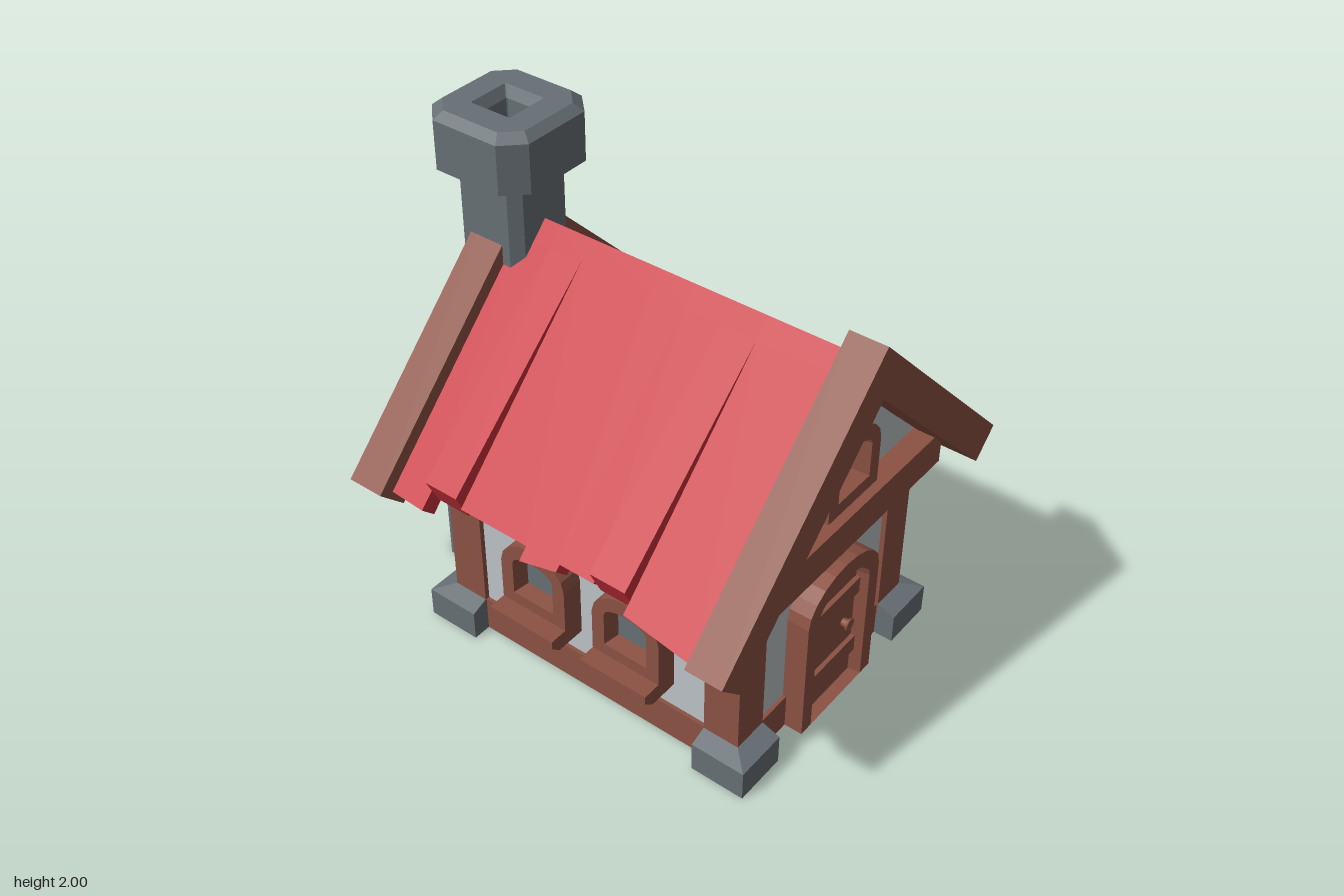
import * as THREE from 'three';

const flat = (name, color) => {
  const m = new THREE.MeshStandardMaterial({ color });
  m.name = name;
  return m;
};

// Rectangle in plan, with optional cut corners (plan y = -z)
function rect(x0, x1, z0, z1, c = 0) {
  const a = -z1, b = -z0;
  if (!c) return [[x0, a], [x1, a], [x1, b], [x0, b]];
  return [[x0 + c, a], [x1 - c, a], [x1, a + c], [x1, b - c],
    [x1 - c, b], [x0 + c, b], [x0, b - c], [x0, a + c]];
}

// Round-topped outline, counter-clockwise from the bottom right
function arch(half, bottom, spring, top, n = 8) {
  const pts = [[half, bottom]];
  for (let i = 0; i <= n; i++) {
    const a = Math.PI * i / n;
    pts.push([half * Math.cos(a), spring + (top - spring) * Math.sin(a)]);
  }
  pts.push([-half, bottom]);
  return pts;
}

// Skin a list of [outline, depth] sections along z, faceted
function loft(sections, caps = true) {
  const pos = [];
  const put = (s, i) => pos.push(s[0][i][0], s[0][i][1], s[1]);
  const n = sections[0][0].length;
  for (let k = 0; k + 1 < sections.length; k++) {
    const a = sections[k], b = sections[k + 1];
    for (let i = 0; i < n; i++) {
      const j = (i + 1) % n;
      put(a, i); put(a, j); put(b, j);
      put(a, i); put(b, j); put(b, i);
    }
  }
  if (caps) {
    for (const [s, start] of [[sections[0], true], [sections.at(-1), false]]) {
      const outline = s[0].map(p => new THREE.Vector2(p[0], p[1]));
      for (const [i, j, k] of THREE.ShapeUtils.triangulateShape(outline, [])) {
        put(s, i); put(s, start ? k : j); put(s, start ? j : k);
      }
    }
  }
  const g = new THREE.BufferGeometry();
  g.setAttribute('position', new THREE.Float32BufferAttribute(pos, 3));
  g.computeVertexNormals();
  return g;
}

// Same, but the sections are plan outlines stacked upwards
const stack = sections => loft(sections).rotateX(-Math.PI / 2);

export function createModel() {
  const wood = flat('brown wood', 0x8c5243);
  const plaster = flat('pale plaster', 0xbcc3c6);
  const stone = flat('grey stone', 0x687075);
  const red = flat('red roof', 0xc6303a);

  const house = new THREE.Group();
  house.name = 'cottage';
  const add = (name, geo, mat, parent = house) => {
    const m = new THREE.Mesh(geo, mat);
    m.name = name;
    parent.add(m);
    return m;
  };
  const box = (name, x0, x1, y0, y1, z0, z1, mat, parent) => {
    const m = add(name, new THREE.BoxGeometry(x1 - x0, y1 - y0, z1 - z0), mat, parent);
    m.position.set((x0 + x1) / 2, (y0 + y1) / 2, (z0 + z1) / 2);
    return m;
  };

  // Walls and floor frame
  box('walls', -0.51, 0.51, 0.1, 0.88, -0.56, 0.75, plaster);
  box('baseFrame', -0.525, 0.525, 0, 0.15, -0.575, 0.765, wood);
  add('gableWall', loft([
    [[[-0.56, 0.89], [0.56, 0.89], [0, 1.46]], -0.56],
    [[[-0.56, 0.89], [0.56, 0.89], [0, 1.46]], 0.75]]), plaster);
  add('eavesBeam', stack([
    [rect(-0.53, 0.53, -0.58, 0.77), 0.725],
    [rect(-0.6, 0.6, -0.65, 0.84), 0.76],
    [rect(-0.6, 0.6, -0.65, 0.84), 0.905]]), wood);

  // Corner posts on sloped foundation stones
  for (const s of [-1, 1]) {
    for (const front of [true, false]) {
      const xs = (a, b) => s > 0 ? [a, b] : [-b, -a];
      const zs = (a, b) => front ? [0.095 + a, 0.095 + b] : [0.095 - b, 0.095 - a];
      box('cornerPost', ...xs(0.38, 0.53), 0.1, 0.74, ...zs(0.525, 0.675), wood);
      const foot = rect(...xs(0.38, 0.6), ...zs(0.525, 0.75));
      const top = rect(...xs(0.38, 0.53), ...zs(0.525, 0.675));
      add('cornerStone', stack([[foot, 0], [foot, 0.125], [top, 0.152]]), stone);
    }
  }

  // Roof planks: [z start, z end, reach at start, reach at end, lifted]
  const planks = {
    1: [[-0.59, -0.44, 0.745, 0.745], [-0.44, -0.14, 0.77, 0.795], [-0.14, 0.01, 0.76, 0.76, true],
      [0.01, 0.46, 0.745, 0.745], [0.46, 0.61, 0.785, 0.765], [0.61, 0.77, 0.745, 0.745]],
    [-1]: [[-0.59, -0.44, 0.79, 0.795], [-0.44, -0.295, 0.765, 0.765, true], [-0.295, 0.01, 0.745, 0.745],
      [0.01, 0.16, 0.785, 0.765], [0.16, 0.31, 0.745, 0.745], [0.31, 0.46, 0.765, 0.765, true],
      [0.46, 0.77, 0.775, 0.8]],
  };
  const plankSection = (e, lifted, s) => {
    const lift = lifted ? 0.08 : 0;
    const pts = [[0, 1.58], [0, 1.47], [e - 0.055, 1.525 - e + lift / 4],
      [e, 1.58 - e + lift], [0.065, 1.515]];
    return s > 0 ? pts : pts.map(([x, y]) => [-x, y]).reverse();
  };
  for (const s of [1, -1]) {
    for (const [z0, z1, e0, e1, lifted] of planks[s]) {
      add('roofPlank', loft([[plankSection(e0, lifted, s), z0], [plankSection(e1, lifted, s), z1]]), red);
    }
  }

  // Gable boards front and back
  const board = [[0, 1.66], [-0.85, 0.81], [-0.745, 0.705], [0, 1.45], [0.745, 0.705], [0.85, 0.81]];
  for (const [z0, z1] of [[0.77, 0.92], [-0.74, -0.59]]) {
    add('gableBoard', loft([[board, z0], [board, z1]]), wood);
  }

  // Arched window facing +z, measured from its own bottom edge
  function archedWindow(name, sill) {
    const g = new THREE.Group();
    g.name = name;
    const inner = arch(0.095, 0.055, 0.2, 0.245);
    const outer = arch(0.15, 0, 0.19, 0.31);
    if (sill) for (const p of [...inner, ...outer]) p[1] += 0.065;
    const deep = inner.map(([x, y]) => [x * 0.86, 0.18 + (y - 0.18) * 0.93]);
    add('windowFrame', loft([[outer, -0.04], [outer, 0.07], [inner, 0.07], [deep, 0]], false), wood, g);
    const pane = new THREE.Shape(inner.map(p => new THREE.Vector2(...p)));
    add('windowPane', new THREE.ShapeGeometry(pane), stone, g).position.z = 0.005;
    if (sill) {
      add('windowSill', stack([
        [rect(-0.15, 0.15, -0.03, 0.105), 0],
        [rect(-0.15, 0.15, -0.03, 0.145), 0.035],
        [rect(-0.15, 0.15, -0.03, 0.145), 0.07]]), wood, g);
    }
    house.add(g);
    return g;
  }
  archedWindow('gableWindow', false).position.set(0, 0.97, 0.77);
  for (const s of [-1, 1]) {
    for (const z of [0.32, -0.11]) {
      const w = archedWindow('sideWindow', true);
      w.rotation.y = s * Math.PI / 2;
      w.position.set(s * 0.53, 0.26, z);
    }
  }

  // Front door
  const outer = arch(0.225, 0, 0.53, 0.68, 10);
  const inner = arch(0.165, 0, 0.51, 0.615, 10);
  const deep = arch(0.155, 0, 0.505, 0.6, 10);
  add('doorFrame', loft([[outer, 0.74], [outer, 0.84], [inner, 0.84], [deep, 0.78]], false), wood);
  add('doorPanel', loft([[inner, 0.75], [inner, 0.79]]), wood);
  for (const y of [0.11, 0.41]) box('doorRail', -0.158, 0.158, y, y + 0.075, 0.78, 0.808, wood);
  const knob = add('doorKnob', new THREE.CylinderGeometry(0.02, 0.016, 0.035, 10).rotateX(Math.PI / 2), wood);
  knob.position.set(0.09, 0.3, 0.805);
  add('doorKnobRing', new THREE.TorusGeometry(0.022, 0.006, 6, 12), wood).position.set(0.09, 0.3, 0.818);

  // Chimney: [height, half width, z back, z front, corner cut]
  const chimney = [
    [0, 0.3, -0.89, -0.5, 0.05], [0.59, 0.3, -0.89, -0.5, 0.05],
    [0.605, 0.28, -0.868, -0.5, 0.05], [0.62, 0.3, -0.888, -0.5, 0.05],
    [0.76, 0.3, -0.888, -0.5, 0.05], [0.91, 0.155, -0.818, -0.515, 0.04],
    [1.21, 0.15, -0.815, -0.515, 0.04], [1.235, 0.13, -0.79, -0.53, 0.04],
    [1.26, 0.15, -0.815, -0.515, 0.04], [1.75, 0.15, -0.815, -0.515, 0.04],
    [1.775, 0.225, -0.89, -0.44, 0.08], [1.97, 0.225, -0.89, -0.44, 0.08],
    [2, 0.19, -0.855, -0.475, 0.065], [2, 0.09, -0.755, -0.575, 0.005],
    [1.96, 0.065, -0.73, -0.6, 0.004], [1.85, 0.065, -0.73, -0.6, 0.004]];
  add('chimney', stack(chimney.map(([y, h, z0, z1, c]) => [rect(-h, h, z0, z1, c), y])), stone);

  // Raised bricks on the back of the chimney
  for (const [x, y] of [[0, 0.35], [-0.07, 0.258], [0.07, 0.258]]) {
    const b = (w, h) => rect(-w, w, -h, h);
    const brick = add('chimneyBrick', loft([[b(0.066, 0.042), -0.02], [b(0.066, 0.042), 0.015],
      [b(0.052, 0.03), 0.028]]), stone);
    brick.rotation.y = Math.PI;
    brick.position.set(x, y, -0.89);
  }
  return house;
}
